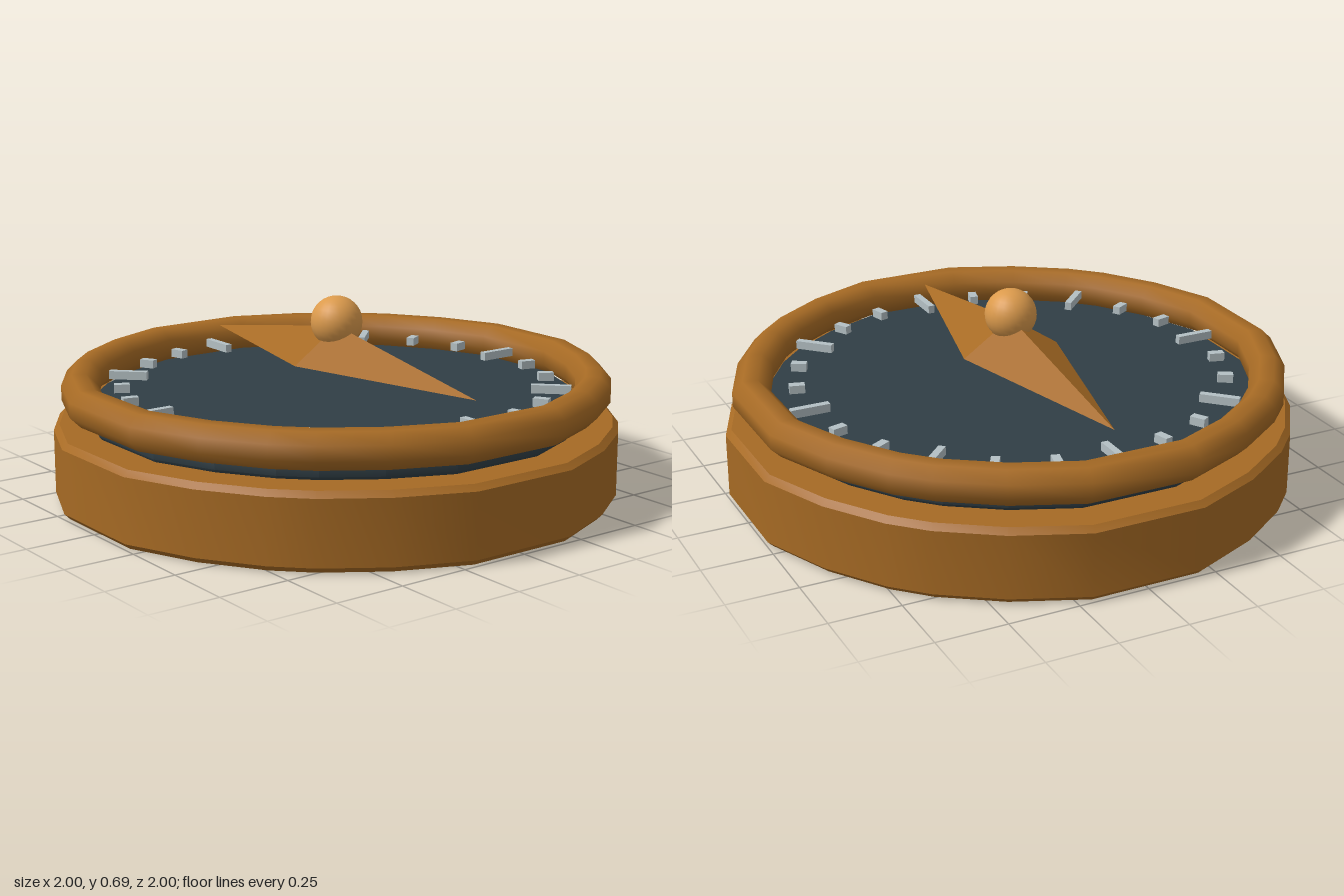
import * as THREE from 'three';
import { mergeVertices, toCreasedNormals } from 'three/addons/utils/BufferGeometryUtils.js';

// One quadrant of the hand-cut, 24-sided outline, as [x, z]
const QUADRANT = [[0.2, 1], [0.45, 0.895], [0.65, 0.76], [0.76, 0.65], [0.895, 0.45], [1, 0.2]];

function makeOutline() {
  const points = [];
  for (let q = 0; q < 4; q++) {
    const a = q * Math.PI / 2;
    for (const [x, z] of QUADRANT) {
      points.push([x * Math.cos(a) + z * Math.sin(a), z * Math.cos(a) - x * Math.sin(a)]);
    }
  }
  return points;
}

// Sweeps an [r, y] profile around the outline
function sweep(profile, outline, crease) {
  const n = profile.length;
  const geo = new THREE.LatheGeometry(profile.map(([r, y]) => new THREE.Vector2(r, y)), outline.length);
  const pos = geo.attributes.position;
  for (let v = 0; v < pos.count; v++) {
    const [r, y] = profile[v % n];
    const [x, z] = outline[Math.floor(v / n) % outline.length];
    pos.setXYZ(v, x * r, y, z * r);
  }
  geo.deleteAttribute('uv');
  geo.deleteAttribute('normal');
  return toCreasedNormals(mergeVertices(geo), crease);
}

// Double-ended pyramid: four sloped facets and a flat underside
function needleGeometry(halfWidth, halfLength, bottom, top) {
  const corners = [[0, halfLength], [halfWidth, 0], [0, -halfLength], [-halfWidth, 0]];
  const verts = [];
  corners.forEach(([x, z], i) => {
    const [x2, z2] = corners[(i + 1) % 4];
    verts.push(x, bottom, z, x2, bottom, z2, 0, top, 0);
    verts.push(x2, bottom, z2, x, bottom, z, 0, bottom, 0);
  });
  const geo = new THREE.BufferGeometry();
  geo.setAttribute('position', new THREE.Float32BufferAttribute(verts, 3));
  geo.computeVertexNormals();
  return geo;
}

export function createModel() {
  const group = new THREE.Group();
  const mat = (name, color) => {
    const m = new THREE.MeshStandardMaterial({ color });
    m.name = name;
    return m;
  };
  const bronze = mat('bronze', 0xa66a24);
  const brass = mat('brass', 0xdb9a4c);
  const slate = mat('slate', 0x303e45);
  const silver = mat('silver', 0xb4c0c4);

  const add = (name, geo, material, parent = group) => {
    const mesh = new THREE.Mesh(geo, material);
    mesh.name = name;
    parent.add(mesh);
    return mesh;
  };
  const outline = makeOutline();

  // Thick base with a small bevel
  add('base', sweep([[0, 0.005], [0.98, 0.005], [1, 0.025], [1, 0.25], [0.98, 0.27], [0, 0.27]],
    outline, 0.6), bronze);

  // Dark dial plate
  add('dial', sweep([[0, 0.265], [0.86, 0.265], [0.87, 0.28], [0.87, 0.315], [0.86, 0.33], [0, 0.33]],
    outline, 0.6), slate);

  // Rounded rim with an eight-sided section
  const section = [];
  for (let i = 0; i <= 8; i++) {
    const t = (i % 8 + 0.5) * Math.PI / 4;
    section.push([0.9075 + 0.0675 * Math.cos(t), 0.3825 + 0.0675 * Math.sin(t)]);
  }
  add('rim', sweep(section, outline, 1), bronze);

  // Eight long ticks, with two short ticks between each pair
  const ticks = new THREE.Group();
  ticks.name = 'ticks';
  group.add(ticks);
  const longTick = new THREE.BoxGeometry(0.025, 0.03, 0.14);
  const shortTick = new THREE.BoxGeometry(0.03, 0.03, 0.055);
  for (let i = 0; i < 24; i++) {
    const isLong = i % 3 === 0;
    const a = i * Math.PI / 12;
    const r = 0.76;
    const tick = add(isLong ? 'longTick' : 'shortTick', isLong ? longTick : shortTick, silver, ticks);
    tick.position.set(r * Math.sin(a), 0.38, r * Math.cos(a));
    tick.rotation.y = a;
  }

  // Needle and its pivot ball
  add('needle', needleGeometry(0.182, 0.755, 0.462, 0.585), bronze);
  add('pivotBall', new THREE.SphereGeometry(0.092, 24, 16), brass).position.y = 0.6;

  return group;
}
